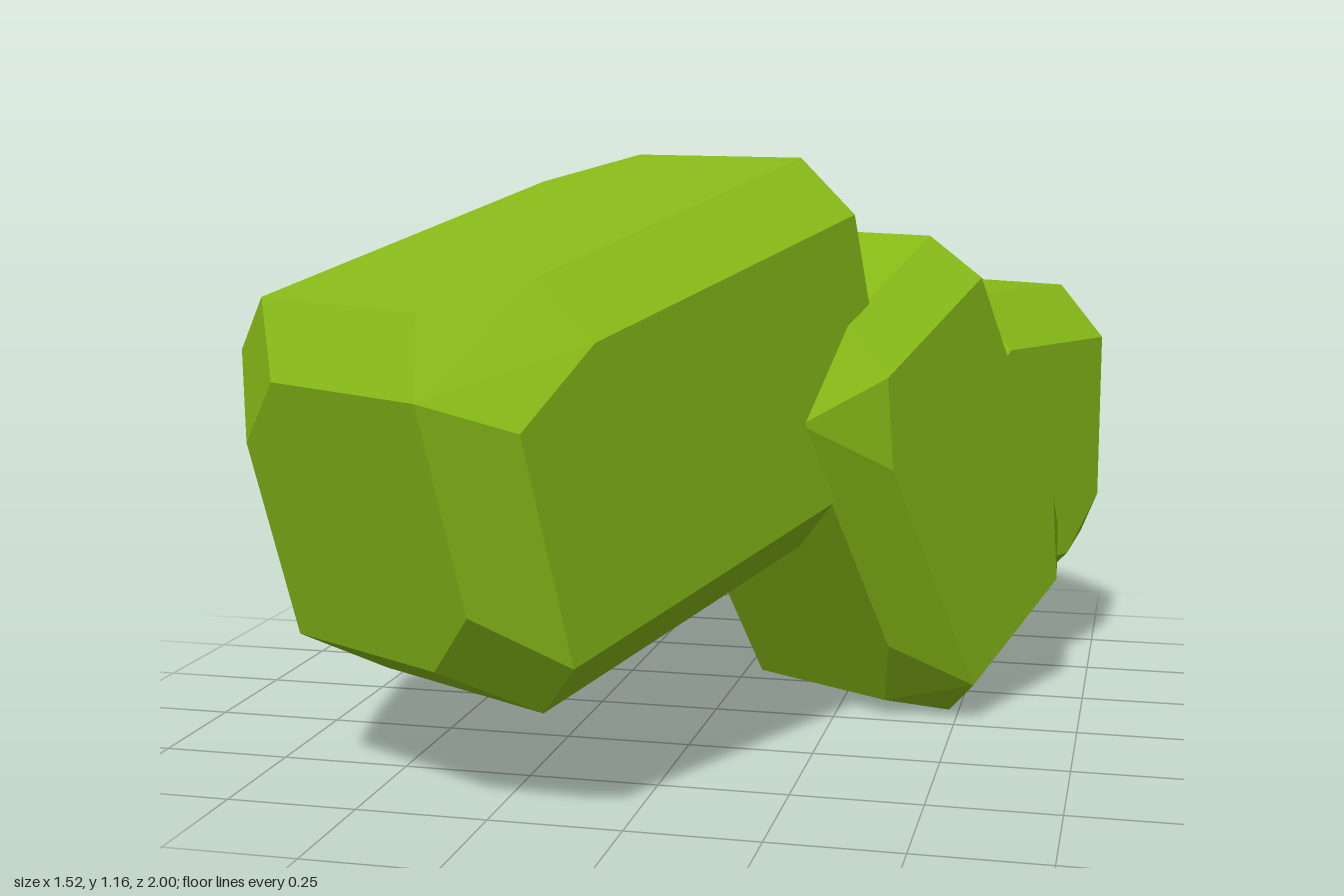
import * as THREE from 'three';
import { ConvexGeometry } from 'three/addons/geometries/ConvexGeometry.js';

// Bevelled block: every face is a hexagon with two opposite corners clipped.
// half = half sizes [x, y, z], bevel = edge inset, clip = size of corner cut.
function clippedBlock(half, bevel, clip) {
  const points = [];
  for (const sx of [-1, 1]) for (const sy of [-1, 1]) for (const sz of [-1, 1]) {
    const sign = [sx, sy, sz];
    const odd = sx * sy * sz > 0;
    for (let axis = 0; axis < 3; axis++) {
      const i = (axis + 1) % 3, j = (axis + 2) % 3;
      const corner = half.map((h, k) => (k === axis ? h : h - bevel));
      const add = (c) => points.push(new THREE.Vector3(...c.map((v, k) => v * sign[k])));
      // side and top faces are clipped at one set of corners, end faces at the other
      if (odd !== (axis === 2)) {
        for (const [a, b] of [[i, j], [j, i]]) {
          const c = [...corner];
          c[a] -= clip * half[a] / half[b];
          add(c);
        }
      } else add(corner);
    }
  }
  return new ConvexGeometry(points);
}

export function createModel() {
  const model = new THREE.Group();
  model.name = 'bush';
  const leaves = new THREE.MeshStandardMaterial({ color: 0x86b817, flatShading: true });

  // Row of three leaf blocks, turned together, each with its own tilt
  const row = new THREE.Group();
  row.name = 'leafBlocks';
  row.rotation.y = -Math.PI / 6;
  model.add(row);

  const blocks = [
    { name: 'frontLeafBlock', half: [0.37, 0.368, 0.566], bevel: 0.11, clip: 0.13, at: [0, 0.688, 0.385], tilt: 0.267 },
    { name: 'middleLeafBlock', half: [0.3, 0.457, 0.303], bevel: 0.094, clip: 0.11, at: [0.158, 0.506, -0.282], tilt: Math.PI / 6 },
    { name: 'backLeafBlock', half: [0.352, 0.352, 0.352], bevel: 0.112, clip: 0.12, at: [0, 0.508, -0.665], tilt: 0 },
  ];
  for (const { name, half, bevel, clip, at, tilt } of blocks) {
    const block = new THREE.Mesh(clippedBlock(half, bevel, clip), leaves);
    block.name = name;
    block.position.set(...at);
    block.rotation.x = tilt;
    row.add(block);
  }
  return model;
}
